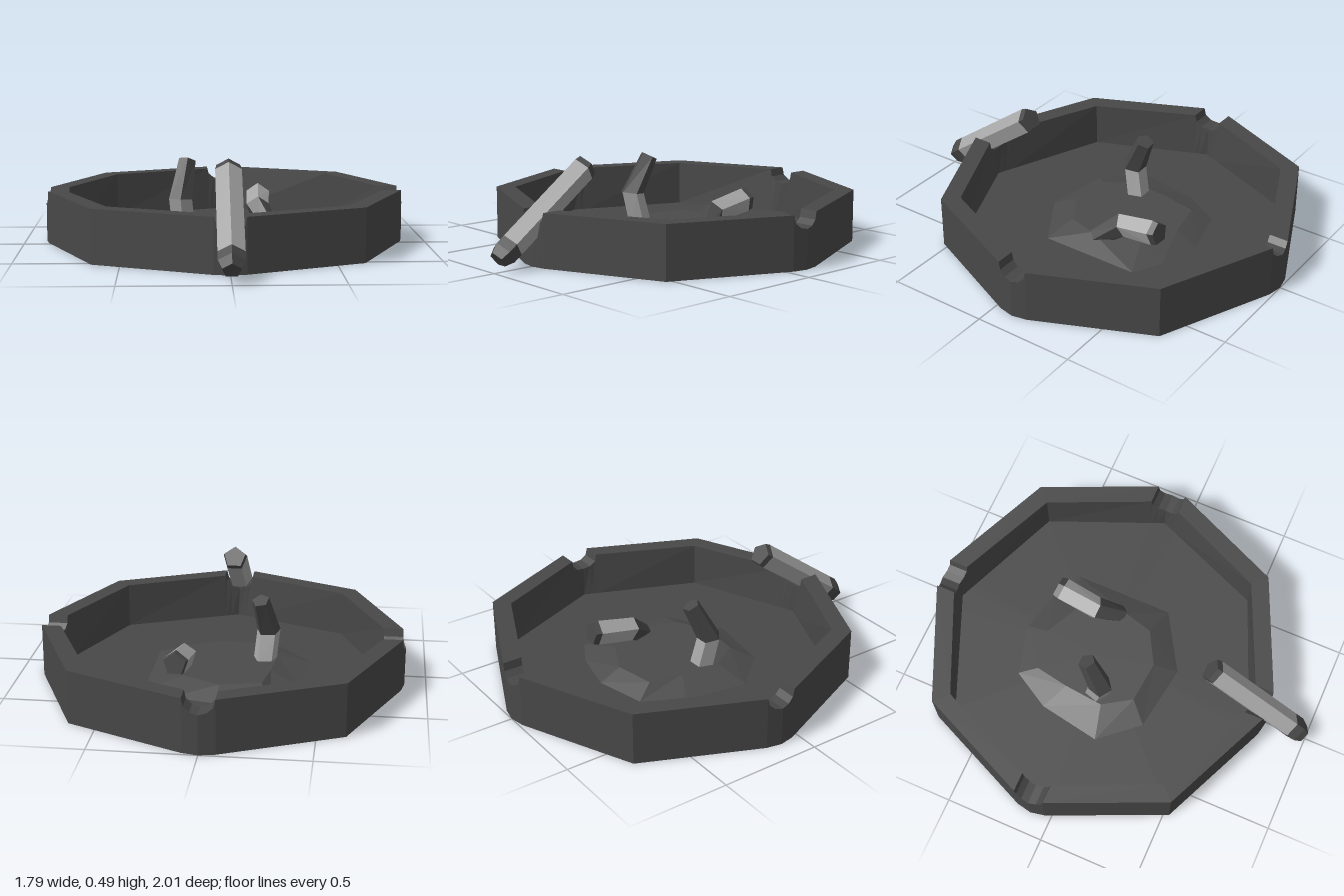
import * as THREE from 'three';

const V = (x, y, z) => new THREE.Vector3(x, y, z);

// Joins successive rings of points with flat-shaded faces, optionally closing the ends.
function loft(rings, capStart, capEnd) {
  const tris = [];
  const n = rings[0].length;
  const centre = (ring) => ring.reduce((s, p) => s.add(p), V(0, 0, 0)).divideScalar(n);
  for (let j = 0; j < n; j++) {
    const k = (j + 1) % n;
    for (let i = 0; i + 1 < rings.length; i++) {
      const [lo, hi] = [rings[i], rings[i + 1]];
      tris.push(lo[j], hi[j], lo[k], lo[k], hi[j], hi[k]);
    }
    if (capStart) tris.push(centre(rings[0]), rings[0][j], rings[0][k]);
    const last = rings[rings.length - 1];
    if (capEnd) tris.push(centre(last), last[k], last[j]);
  }
  const geometry = new THREE.BufferGeometry().setFromPoints(tris);
  geometry.computeVertexNormals();
  return geometry;
}

function addMesh(parent, name, geometry, material) {
  const mesh = new THREE.Mesh(geometry, material);
  mesh.name = name;
  parent.add(mesh);
}

// Five-sided stick along a path; each station is [point, radius], one material per section.
function stick(name, stations, up, materials) {
  const group = new THREE.Group();
  group.name = name;
  const last = stations.length - 1;
  const rings = stations.map(([c, r], i) => {
    const axis = V(0, 0, 0);
    if (i > 0) axis.add(c.clone().sub(stations[i - 1][0]).normalize());
    if (i < last) axis.add(stations[i + 1][0].clone().sub(c).normalize());
    axis.normalize();
    const a = up.clone().addScaledVector(axis, -up.dot(axis)).normalize();
    const b = a.clone().cross(axis);
    return Array.from({ length: 5 }, (_, j) => {
      const t = (j / 5) * Math.PI * 2;
      return c.clone().addScaledVector(a, r * Math.cos(t)).addScaledVector(b, r * Math.sin(t));
    });
  });
  materials.forEach((m, i) => addMesh(group, name + 'Section' + (i + 1),
    loft([rings[i], rings[i + 1]], i === 0, i === last - 1), m));
  return group;
}

// Octagonal dish with a rounded notch across the rim at four corners.
function trayGeometry(floorY, rimY) {
  const notch = [[-0.075, rimY], [-0.066, 0.222], [-0.038, 0.198], [0, 0.19],
    [0.038, 0.198], [0.066, 0.222], [0.075, rimY]];
  const rings = [[], [], [], []];
  for (let k = 0; k < 8; k++) {
    const angle = (k * Math.PI) / 4;
    const [c, s] = [Math.cos(angle), Math.sin(angle)];
    const notched = k % 2 === 0;
    for (const [t, y] of notched ? notch : [[0, rimY]]) {
      const at = (r, h) => V(c * r - s * t, h, s * r + c * t);
      const d = Math.abs(t);
      rings[0].push(at(0.895 - 0.2 * d, 0));
      rings[1].push(at(0.895 - 0.2 * d, y));
      rings[2].push(at(0.8 - 0.2 * d, y));
      rings[3].push(at(0.8 - 0.414 * d, floorY));
    }
  }
  return loft(rings, true, true);
}

export function createModel() {
  const tray = new THREE.MeshStandardMaterial({ color: 0x484848 });
  tray.name = 'charcoal';
  const ash = new THREE.MeshStandardMaterial({ color: 0x4b4b4b });
  ash.name = 'ash grey';
  const paper = new THREE.MeshStandardMaterial({ color: 0xa6a6a6 });
  paper.name = 'pale grey';

  const model = new THREE.Group();
  model.name = 'ashtray';

  const floorY = 0.035;
  const dish = new THREE.Group();
  dish.name = 'dish';
  dish.position.z = -0.105;
  addMesh(dish, 'tray', trayGeometry(floorY, 0.26), tray);
  model.add(dish);

  // Low irregular heap of ash on the floor
  const base = [[0.34, 0.11], [0.06, 0.28], [-0.27, 0.23], [-0.435, 0.04], [-0.38, -0.27],
    [-0.27, -0.46], [-0.02, -0.52], [0.2, -0.47], [0.34, -0.39]];
  const crown = [[0.19, 0.07], [0.03, 0.16], [-0.18, 0.14], [-0.27, 0.0], [-0.25, -0.2],
    [-0.22, -0.37], [-0.02, -0.41], [0.16, -0.32], [0.23, -0.08]];
  addMesh(model, 'ashHeap', loft([
    base.map(([x, z]) => V(x, floorY, z)),
    crown.map(([x, z]) => V(x, 0.085, z)),
  ], false, true), ash);

  // Long stick leaning on the front notch: s runs down its sloping axis
  const along = (s) => V(0, 0.506 - 0.59 * s, 0.368 + 0.81 * s);
  model.add(stick('longCigarette', [
    [along(0.115), 0.058], [along(0.145), 0.0645], [along(0.66), 0.0645],
    [along(0.71), 0.0645], [along(0.755), 0.045],
  ], V(0, 1, 0), [tray, paper, tray, tray]));

  // Bent stub standing in the heap
  model.add(stick('standingStub', [
    [V(-0.205, 0.05, -0.055), 0.06], [V(-0.222, 0.22, -0.02), 0.06],
    [V(-0.188, 0.405, -0.105), 0.044],
  ], V(0, 0, 1), [paper, tray]));

  // Bent stub lying back from the heap
  model.add(stick('lyingStub', [
    [V(0.225, 0.06, -0.1), 0.045], [V(0.17, 0.15, -0.22), 0.06],
    [V(0.183, 0.185, -0.41), 0.063], [V(0.185, 0.19, -0.44), 0.056],
  ], V(0, 1, 0), [tray, paper, tray]));

  return model;
}
